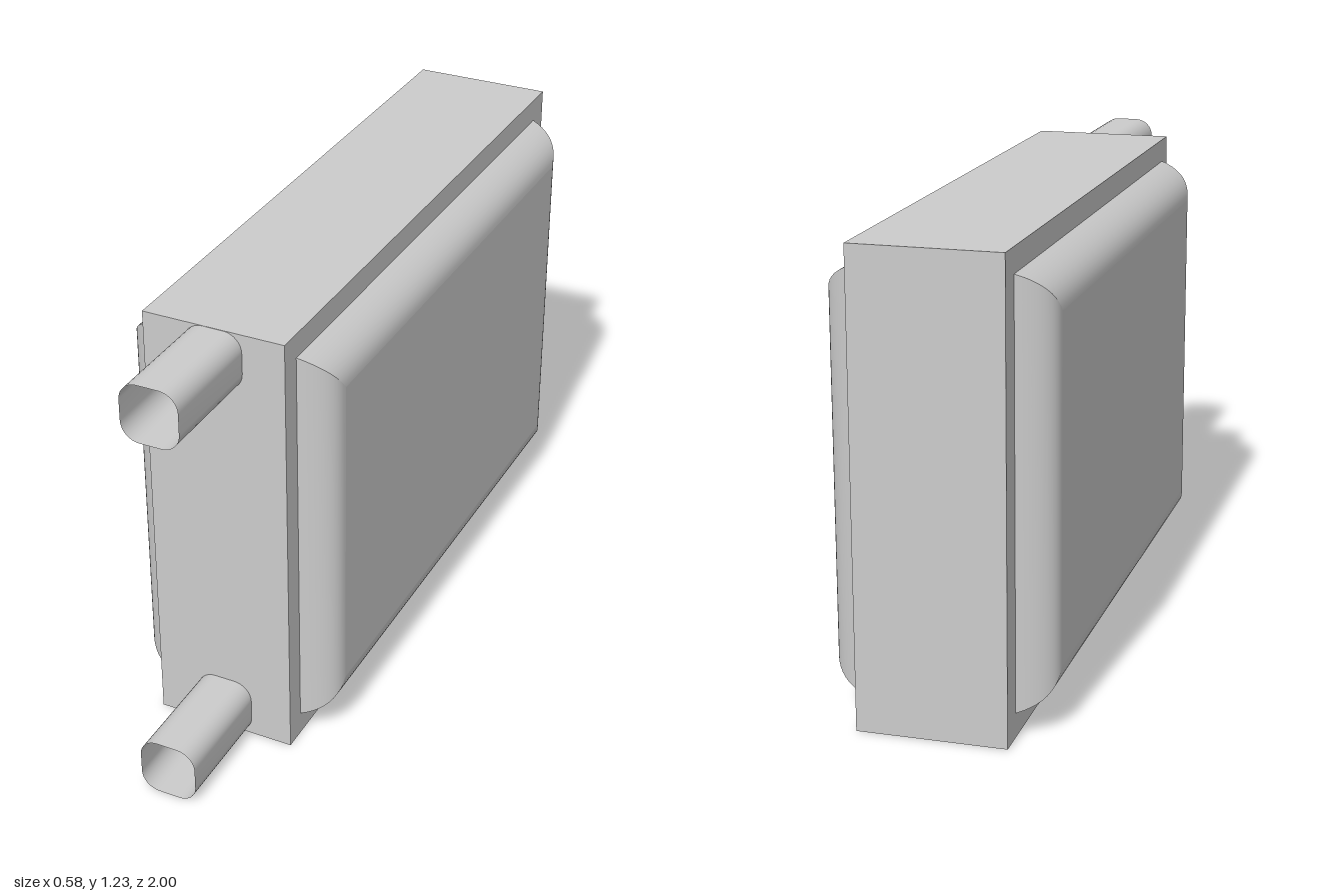
import * as THREE from 'three';
import { mergeGeometries } from 'three/addons/utils/BufferGeometryUtils.js';

const grey = new THREE.MeshStandardMaterial({ color: 0xcccccc });
const greyThin = new THREE.MeshStandardMaterial({ color: 0xcccccc, side: THREE.DoubleSide });

// Smooth skin through rows of points; rows run counter-clockwise.
function loft(rows) {
  const n = rows[0].length;
  const index = [];
  for (let k = 0; k < rows.length - 1; k++) {
    for (let j = 0; j < n - 1; j++) {
      const a = k * n + j, d = a + n;
      index.push(a, a + 1, d + 1, a, d + 1, d);
    }
  }
  const g = new THREE.BufferGeometry().setFromPoints(rows.flat());
  g.setIndex(index);
  g.computeVertexNormals();
  return g;
}

// Raised panel with rounded sides, mitred corners and a flat face towards +z.
function padGeometry(halfW, halfH, height) {
  const curve = new THREE.QuadraticBezierCurve(
    new THREE.Vector2(0, 0), new THREE.Vector2(0.03, height), new THREE.Vector2(0.1, height));
  const corners = [[-1, -1], [1, -1], [1, 1], [-1, 1]];
  const ring = (p) => corners.map(([sx, sy]) =>
    new THREE.Vector3(sx * (halfW - 0.8 * p.x), sy * (halfH - p.x), p.y));
  const rings = curve.getPoints(10).map(ring);
  const parts = corners.map((_, i) => loft(rings.map((r) => [r[i], r[(i + 1) % 4]])));
  const top = rings[rings.length - 1];
  parts.push(loft([[top[0], top[1]], [top[3], top[2]]]));
  return mergeGeometries(parts);
}

// Open pipe with a rounded square section, running from z0 to z1.
function pipeGeometry(half, radius, z0, z1) {
  const outline = [[0, -half]];
  const c = half - radius;
  [[1, -1], [1, 1], [-1, 1], [-1, -1]].forEach(([sx, sy], q) => {
    for (let i = 0; i <= 8; i++) {
      const a = (q - 1 + i / 8) * Math.PI / 2;
      outline.push([sx * c + radius * Math.cos(a), sy * c + radius * Math.sin(a)]);
    }
  });
  outline.push([0, -half]);
  return loft([z0, z1].map((z) => outline.map(([x, y]) => new THREE.Vector3(x, y, z))));
}

export function createModel() {
  const group = new THREE.Group();
  const add = (name, geometry, material, x, y, z) => {
    const mesh = new THREE.Mesh(geometry, material);
    mesh.name = name;
    mesh.position.set(x, y, z);
    group.add(mesh);
    return mesh;
  };

  // Main block
  add('body', new THREE.BoxGeometry(0.39, 1.23, 1.69), grey, 0, 0.615, -0.155);

  // Bulging side panels
  const pad = padGeometry(0.78, 0.55, 0.095);
  for (const [name, s] of [['leftPanel', 1], ['rightPanel', -1]]) {
    add(name, pad, grey, s * 0.195, 0.615, -0.15).rotation.y = s * Math.PI / 2;
  }

  // Connection pipes at the front
  const pipe = pipeGeometry(0.079, 0.05, 0.69, 1);
  add('lowerPipe', pipe, greyThin, 0, 0.08, 0);
  add('upperPipe', pipe, greyThin, 0, 1.15, 0);
  return group;
}
